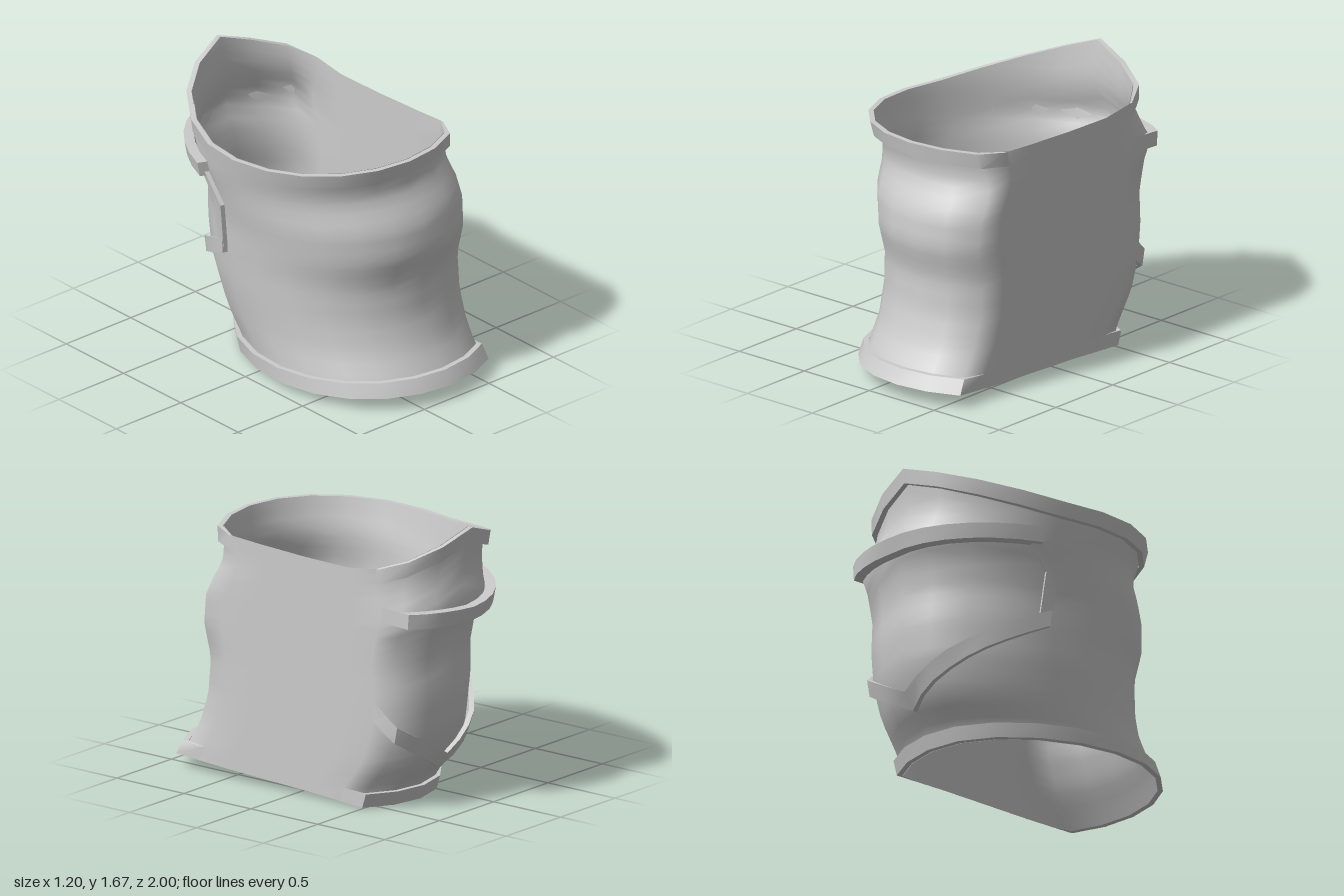
import * as THREE from 'three';
import { toCreasedNormals } from 'three/addons/utils/BufferGeometryUtils.js';

const SEG = 20, ROWS = 24, CUT = 0.6;

// Body profile: height, left edge x, front z, back z, centre x
const PROFILE = [
  [0.00, -0.42, 1.00, -0.59, 0.21], [0.10, -0.42, 0.965, -0.62, 0.21], [0.20, -0.42, 0.91, -0.71, 0.20],
  [0.30, -0.42, 0.85, -0.78, 0.20], [0.48, -0.435, 0.79, -0.84, 0.195], [0.70, -0.45, 0.77, -0.86, 0.19],
  [0.90, -0.47, 0.82, -0.85, 0.185], [1.08, -0.50, 0.80, -0.88, 0.18], [1.20, -0.515, 0.74, -0.94, 0.175],
  [1.29, -0.535, 0.69, -0.89, 0.15], [1.42, -0.56, 0.715, -0.86, 0.11], [1.50, -0.575, 0.73, -0.87, 0.10],
  [1.68, -0.58, 0.73, -0.89, 0.10],
];

function section(y) {
  let i = 0;
  while (i < PROFILE.length - 2 && y > PROFILE[i + 1][0]) i++;
  const p = PROFILE[i], q = PROFILE[i + 1];
  const t = THREE.MathUtils.clamp((y - p[0]) / (q[0] - p[0]), 0, 1);
  return p.map((v, k) => v + (q[k] - v) * t);
}

// Point on the shell: angle 0 is the back, positive towards +x, cut flat at x = CUT.
// The cut side is fuller than an ellipse, the other side leans slightly forward.
function shellPoint(angle, y, offset = 0) {
  const [, xl, zf, zb, cx] = section(y);
  const s = Math.sin(angle), c = Math.cos(angle);
  const depth = s > 0 ? Math.sign(c) * Math.abs(c) ** 0.75 : c;
  const lean = s < 0 ? 0.08 * s * s : 0;
  const x = cx + (cx - xl + offset) * s;
  const z = (zf + zb) / 2 + lean - ((zf - zb) / 2 + offset) * depth;
  return new THREE.Vector3(Math.min(x, CUT), y, z);
}

const bottomY = (a) => 0.048 - 0.045 * Math.cos(a);
const topY = (a) => {
  const c = Math.cos(a), s = Math.abs(Math.sin(a));
  return c > 0 ? 1.45 - 0.02 * c + 0.24 * Math.max(0, 1 - s / 0.95) : 1.45 - 0.045 * c;
};

// Skin a list of equal-length point rows; each list runs towards +angle
function skin(sections, closeRing, closeSection, caps) {
  const n = sections[0].length, m = sections.length, index = [];
  const pos = sections.flat().flatMap((p) => [p.x, p.y, p.z]);
  for (let i = 0; i < (closeRing ? m : m - 1); i++) {
    for (let j = 0; j < (closeSection ? n : n - 1); j++) {
      const i2 = (i + 1) % m, j2 = (j + 1) % n;
      const a = i * n + j, b = i2 * n + j, c = i * n + j2, d = i2 * n + j2;
      index.push(b, a, c, b, c, d);
    }
  }
  if (caps) {
    const e = (m - 1) * n;
    index.push(0, 2, 1, 0, 3, 2, e, e + 1, e + 2, e, e + 2, e + 3);
  }
  const g = new THREE.BufferGeometry();
  g.setAttribute('position', new THREE.Float32BufferAttribute(pos, 3));
  g.setIndex(index);
  g.computeVertexNormals();
  return g;
}

// Four corners of a raised trim strip between two shell coordinates
const stripSection = (a0, y0, a1, y1, offset) => [
  shellPoint(a0, y0, 0.004), shellPoint(a0, y0, offset),
  shellPoint(a1, y1, offset), shellPoint(a1, y1, 0.004),
];

export function createModel() {
  const group = new THREE.Group();
  const grey = new THREE.MeshStandardMaterial({ color: 0xcccccc, side: THREE.DoubleSide });
  grey.name = 'plain grey';
  const add = (name, geometry) => {
    const mesh = new THREE.Mesh(geometry, grey);
    mesh.name = name;
    group.add(mesh);
  };
  const angles = Array.from({ length: SEG }, (_, i) => (i / SEG) * Math.PI * 2);

  // Open shell with one flat side
  add('shell', skin(angles.map((a) => Array.from({ length: ROWS + 1 }, (_, j) =>
    shellPoint(a, THREE.MathUtils.lerp(bottomY(a), topY(a), j / ROWS)))), true, false));

  // Rims around both openings
  const rim = (name, low, high) => add(name, toCreasedNormals(
    skin(angles.map((a) => stripSection(a, low(a), a, high(a), 0.035)), true, true), 0.7));
  rim('bottomRim', bottomY, (a) => bottomY(a) + 0.085);
  rim('topRim', (a) => topY(a) - 0.09, topY);

  // Raised trim framing the back panel; path points are [degrees, height]
  const trim = (name, path, halfAngle, halfHeight, offset) => {
    const sections = [];
    path.forEach(([d, y], k) => {
      const next = path[k + 1];
      const steps = next ? Math.max(1, Math.round(Math.abs(next[0] - d) / 9)) : 1;
      for (let s = 0; s < steps; s++) {
        const t = s / steps;
        const a = THREE.MathUtils.degToRad(next ? d + (next[0] - d) * t : d);
        const h = next ? y + (next[1] - y) * t : y;
        const da = THREE.MathUtils.degToRad(halfAngle);
        sections.push(stripSection(a + da, h - halfHeight, a - da, h + halfHeight, offset));
      }
    });
    add(name, toCreasedNormals(skin(sections, false, true, true), 0.7));
  };
  trim('upperBackTrim', [[-66, 1.21], [0, 1.175], [54, 1.205]], 0, 0.045, 0.065);
  trim('sideBackTrim', [[-68, 0.73], [-69, 1.02], [-64, 1.2]], 2.5, 0, 0.03);
  trim('lowerBackTrim', [[-70, 0.74], [0, 0.26], [54, 0.6]], 0, 0.05, 0.035);

  return group;
}
